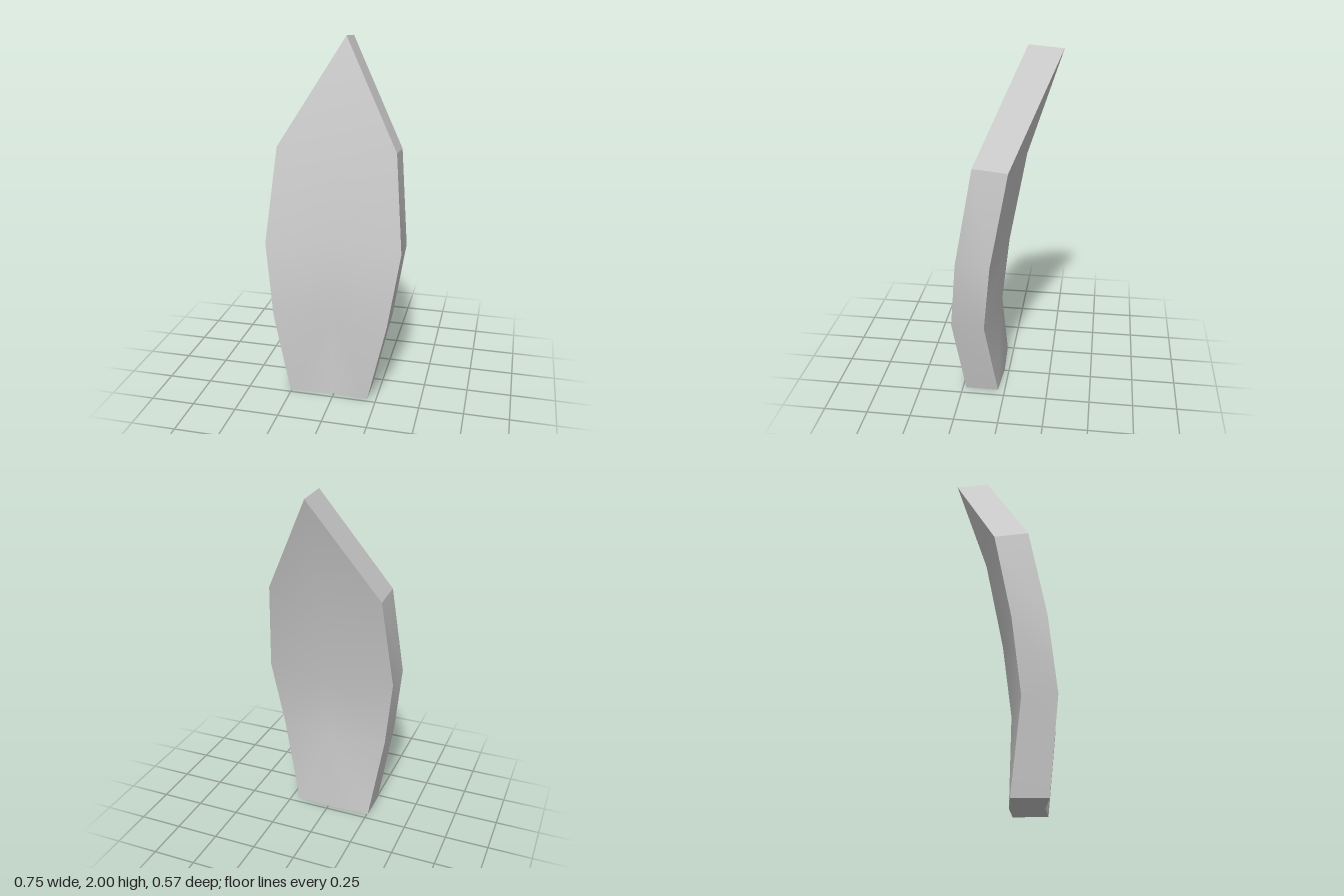
import * as THREE from 'three';
import { toCreasedNormals } from 'three/addons/utils/BufferGeometryUtils.js';

// Cross-sections from the base up: y, left/right x, edge z and middle z of each face
const rows = [
  { y: 0.0, x0: -0.255, x1: 0.2, front: [0.23, 0.212], back: [0.04, 0.027], drop: 0 },
  { y: 0.5, x0: -0.328, x1: 0.315, front: [0.284, 0.193], back: [0.1, 0.042], drop: 0.01 },
  { y: 0.91, x0: -0.377, x1: 0.377, front: [0.24, 0.175], back: [0.055, -0.004], drop: 0.01 },
  { y: 1.435, x0: -0.326, x1: 0.326, front: [0.148, 0.08], back: [-0.038, -0.1], drop: 0.018 },
];
const tips = { front: [0, 2, -0.1], back: [0, 1.985, -0.285] };

// Three points per row (edge, middle, edge), then the tip
function facePoints(side) {
  const points = [];
  for (const r of rows) {
    const y = side === 'back' ? r.y - r.drop : r.y;
    const [edge, middle] = r[side];
    points.push([r.x0, y, edge], [(r.x0 + r.x1) / 2 * 0.5, y, middle], [r.x1, y, edge]);
  }
  points.push(tips[side]);
  return points;
}

function makeGeometry(points, index) {
  const g = new THREE.BufferGeometry();
  g.setAttribute('position', new THREE.Float32BufferAttribute(points.flat(), 3));
  g.setIndex(index);
  g.computeVertexNormals();
  return g;
}

// Smooth folded face made of two mirrored strips closing at the tip
function faceGeometry(points, flip) {
  const index = [];
  const tri = (a, b, c) => index.push(...(flip ? [a, c, b] : [a, b, c]));
  const tip = points.length - 1;
  for (let r = 0; r < rows.length; r++) {
    const [l, c, e] = [r * 3, r * 3 + 1, r * 3 + 2];
    if (r === rows.length - 1) {
      tri(l, c, tip);
      tri(c, e, tip);
    } else {
      tri(l, c, c + 3);
      tri(l, c + 3, l + 3);
      tri(c, e, c + 3);
      tri(e, e + 3, c + 3);
    }
  }
  return makeGeometry(points, index);
}

// Band joining the outlines of the two faces, including the base
function rimGeometry(front, back) {
  const outline = [0, 1, 2, 5, 8, 11, 12, 9, 6, 3];
  const n = outline.length;
  const points = [...outline.map(i => front[i]), ...outline.map(i => back[i])];
  const index = [];
  for (let i = 0; i < n; i++) {
    const j = (i + 1) % n;
    index.push(i, i + n, j, j, i + n, j + n);
  }
  return toCreasedNormals(makeGeometry(points, index), 0.4);
}

export function createModel() {
  const group = new THREE.Group();
  group.name = 'curvedPlate';
  const material = new THREE.MeshStandardMaterial({ color: 0xcccccc });
  const front = facePoints('front');
  const back = facePoints('back');
  const add = (name, geometry) => {
    const mesh = new THREE.Mesh(geometry, material);
    mesh.name = name;
    group.add(mesh);
  };
  add('frontFace', faceGeometry(front, false));
  add('backFace', faceGeometry(back, true));
  add('rim', rimGeometry(front, back));
  return group;
}
